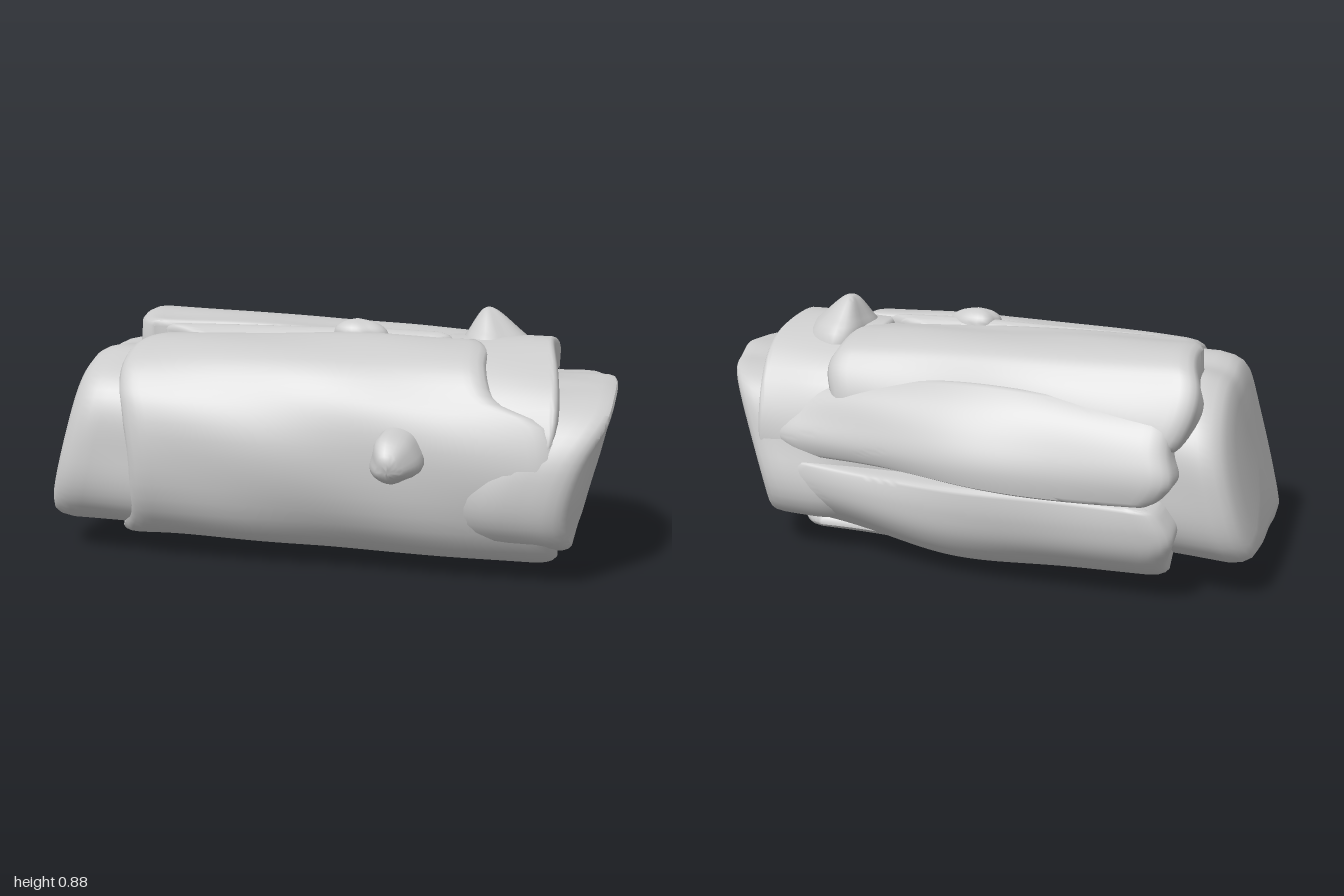
import * as THREE from 'three';
import { mergeVertices, toCreasedNormals } from 'three/addons/utils/BufferGeometryUtils.js';

const MID = 0.4; // height of the log's axis
const material = new THREE.MeshStandardMaterial({ color: 0xcccccc });
const { lerp, smoothstep, degToRad } = THREE.MathUtils;

// Gentle lumpiness of the wood surface
const lumps = (x, a) =>
  0.005 * Math.sin(4 * x + 2 * a) + 0.005 * Math.sin(9 * x - 3 * a + 1) * Math.sin(5 * a + x);

// Angle 0 is up, 90 the front, 180 the bottom, -90 the back
const polar = (x, deg, r) => {
  const a = degToRad(deg);
  return [x, MID + r * Math.cos(a), r * Math.sin(a)];
};

// Grid surface: point(i, j), with i running round the log and j along it
function gridGeometry(ni, nj, point, crease) {
  const pos = [], index = [];
  for (let i = 0; i <= ni; i++) for (let j = 0; j <= nj; j++) pos.push(...point(i, j));
  for (let i = 0; i < ni; i++) for (let j = 0; j < nj; j++) {
    const a = i * (nj + 1) + j, b = a + nj + 1;
    index.push(a, b, b + 1, a, b + 1, a + 1);
  }
  const g = new THREE.BufferGeometry();
  g.setAttribute('position', new THREE.Float32BufferAttribute(pos, 3));
  g.setIndex(index);
  return toCreasedNormals(mergeVertices(g, 1e-5), crease);
}

function addMesh(group, name, geometry) {
  const mesh = new THREE.Mesh(geometry, material);
  mesh.name = name;
  group.add(mesh);
  return mesh;
}

// Closed radius profile given every 30 degrees
function ringProfile(radii) {
  const pts = [];
  for (let k = -1; k <= 13; k++) pts.push(new THREE.Vector2(k * 30, radii[(k + 12) % 12]));
  const curve = new THREE.SplineCurve(pts);
  return deg => curve.getPoint((deg + 30) / 420).y;
}

// Wood core with two obliquely cut, rounded ends
function coreGeometry() {
  const left = ringProfile([0.31, 0.36, 0.41, 0.42, 0.44, 0.36, 0.3, 0.35, 0.44, 0.43, 0.42, 0.36]);
  const right = ringProfile([0.255, 0.28, 0.39, 0.465, 0.475, 0.34, 0.265, 0.31, 0.49, 0.44, 0.395, 0.28]);
  const rows = [[0, 0], [0, 0.4], [0, 0.7], [0.002, 0.87], [0.009, 0.935], [0.022, 0.975], [0.045, 1]];
  for (let k = 1; k < 40; k++) rows.push([lerp(0.045, 0.97, k / 40), 1]);
  rows.push([0.97, 1], [0.988, 0.99], [0.996, 0.97], [1, 0.935], [1, 0.7], [1, 0.4], [1, 0]);
  return gridGeometry(90, rows.length - 1, (i, j) => {
    const deg = (i % 90) * 4, [t, f] = rows[j];
    const w = smoothstep(t, 0.72, 0.9);
    const r = f * (lerp(left(deg), right(deg), w) + lumps(t * 2, degToRad(deg)));
    const [, y, z] = polar(0, deg, r);
    const x0 = -1.04 + 0.27 * (y - 0.1) + 0.35 * Math.max(0, Math.abs(z) - 0.1) ** 2 + 0.03 * (z + 0.4);
    const x1 = 0.94 + 0.25 * (y - 0.37) - 0.6 * Math.max(0, 0.1 - z) ** 2 - 3 * Math.max(0, z - 0.3) ** 2;
    return [lerp(Math.max(x0, -1), x1, t), y, z];
  }, 0.6);
}

// Bark plate: profile of [angle, radius, left x, right x], and radius scale at left, middle and right
function barkGeometry(profile, scale) {
  const radius = new THREE.SplineCurve(profile.map(p => new THREE.Vector2(p[0], p[1])));
  const ends = new THREE.SplineCurve(profile.map(p => new THREE.Vector2(p[2], p[3])));
  const swell = new THREE.SplineCurve(scale.map((s, k) => new THREE.Vector2(k, s)));
  const middle = (profile[0][0] + profile.at(-1)[0]) / 2;
  // first and last rows dip into the core, the next ones round the rim
  const rim = [[0, 0.72], [0, 0.94], [0.008, 0.97], [0.022, 0.99], [0.045, 1]];
  const steps = n => {
    const s = [...rim];
    for (let k = 1; k < n; k++) s.push([lerp(0.045, 0.955, k / n), 1]);
    return [...s, ...rim.map(([t, f]) => [1 - t, f]).reverse()];
  };
  const us = steps(30), vs = steps(50);
  return gridGeometry(us.length - 1, vs.length - 1, (i, j) => {
    const [u, fu] = us[i], [v, fv] = vs[j];
    const p = radius.getPoint(u), e = ends.getPoint(u);
    // wavy ends with rounded corners, and wavy sides
    const inset = 0.04 * Math.abs(2 * u - 1) ** 8 + 0.008 * Math.sin(u * 13 + middle);
    const x = lerp(e.x + inset, e.y - inset, v);
    const deg = p.x + 1.5 * Math.sin(x * 5 + middle) * (2 * u - 1) ** 2;
    const r = p.y * swell.getPoint(v).y + lumps(x, degToRad(p.x));
    return polar(x, deg, r * Math.min(fu, fv));
  }, 0.7);
}

// Knot or branch stub, a lumpy turned shape with its tip leaning sideways
function knotGeometry(profile, lean) {
  const curve = new THREE.SplineCurve(profile.map(p => new THREE.Vector2(...p)));
  const g = new THREE.LatheGeometry(curve.getPoints(14), 28);
  const p = g.attributes.position;
  for (let i = 0; i < p.count; i++) {
    const x = p.getX(i), y = p.getY(i), z = p.getZ(i), a = Math.atan2(z, x);
    const k = 1 + 0.08 * Math.sin(3 * a + 1) + 0.04 * Math.sin(5 * a);
    p.setXYZ(i, x * k + lean * y, y, z * k);
  }
  g.deleteAttribute('uv');
  g.deleteAttribute('normal');
  return toCreasedNormals(mergeVertices(g, 1e-5), 0.8);
}

export function createModel() {
  const log = new THREE.Group();
  log.name = 'log';
  addMesh(log, 'woodCore', coreGeometry());

  const plates = {
    frontBark: [[
      [6, 0.39, -0.66, 0.56], [22, 0.41, -0.71, 0.58], [42, 0.445, -0.71, 0.58], [58, 0.45, -0.69, 0.62],
      [70, 0.455, -0.67, 0.8], [95, 0.46, -0.65, 0.84], [120, 0.47, -0.67, 0.84],
      [135, 0.455, -0.71, 0.83], [146, 0.415, -0.73, 0.8], [157, 0.355, -0.68, 0.75]], [0.96, 1, 1]],
    rightTopBark: [[
      [-108, 0.43, 0.45, 0.76], [-90, 0.43, 0.45, 0.77], [-60, 0.42, 0.42, 0.775], [-30, 0.395, 0.4, 0.785],
      [0, 0.385, 0.4, 0.79], [30, 0.4, 0.42, 0.81], [60, 0.435, 0.45, 0.82], [82, 0.455, 0.5, 0.83]], [0.98, 1, 1]],
    backTopBark: [[
      [-74, 0.485, -0.78, 0.5], [-62, 0.5, -0.8, 0.5], [-50, 0.51, -0.8, 0.51], [-40, 0.51, -0.79, 0.51],
      [-25, 0.46, -0.77, 0.51], [-12, 0.42, -0.75, 0.5], [0, 0.405, -0.73, 0.45]], [1.01, 0.98, 0.89]],
    topSliver: [[
      [-4, 0.38, -0.62, 0.3], [0, 0.4, -0.64, 0.4], [5, 0.4, -0.6, 0.42], [11, 0.38, -0.5, 0.36]], [1, 1, 0.98]],
    backBark: [[
      [-94, 0.545, -0.72, 0.64], [-86, 0.55, -0.75, 0.7], [-76, 0.535, -0.75, 0.7],
      [-65, 0.515, -0.73, 0.68], [-55, 0.49, -0.7, 0.62]], [0.97, 1.02, 0.78]],
    backLowerBark: [[
      [-138, 0.48, -0.7, 0.66], [-127, 0.54, -0.73, 0.7], [-114, 0.57, -0.75, 0.71],
      [-104, 0.565, -0.75, 0.7], [-95, 0.545, -0.72, 0.64]], [0.96, 1.0, 0.82]],
    bottomBark: [[
      [152, 0.35, -0.52, 0.6], [164, 0.375, -0.62, 0.7], [177, 0.39, -0.66, 0.73], [192, 0.395, -0.66, 0.73],
      [207, 0.425, -0.66, 0.7], [224, 0.47, -0.58, 0.62]], [0.9, 1, 0.99]],
  };
  for (const [name, [profile, scale]] of Object.entries(plates))
    addMesh(log, name, barkGeometry(profile, scale));

  // Branch stub on the front, drooping a little
  const stub = addMesh(log, 'branchStub', knotGeometry(
    [[0.08, -0.08], [0.085, 0.02], [0.082, 0.07], [0.06, 0.11], [0.035, 0.135], [0, 0.145]], -0.13));
  stub.position.set(0.31, 0.455, 0.42);
  stub.rotation.x = Math.PI / 2 + 0.25;

  // Knots on the top
  const knot = addMesh(log, 'topKnot', knotGeometry(
    [[0.17, -0.1], [0.145, 0], [0.1, 0.05], [0.055, 0.095], [0.025, 0.118], [0, 0.125]], -0.3));
  knot.position.set(0.575, 0.755, -0.07);
  knot.scale.set(0.85, 1, 1);

  const small = addMesh(log, 'smallKnot', knotGeometry(
    [[0.1, -0.08], [0.095, 0], [0.06, 0.035], [0, 0.05]], -0.2));
  small.position.set(0.1, 0.79, 0.035);
  small.scale.set(1, 1, 0.6);

  return log;
}
